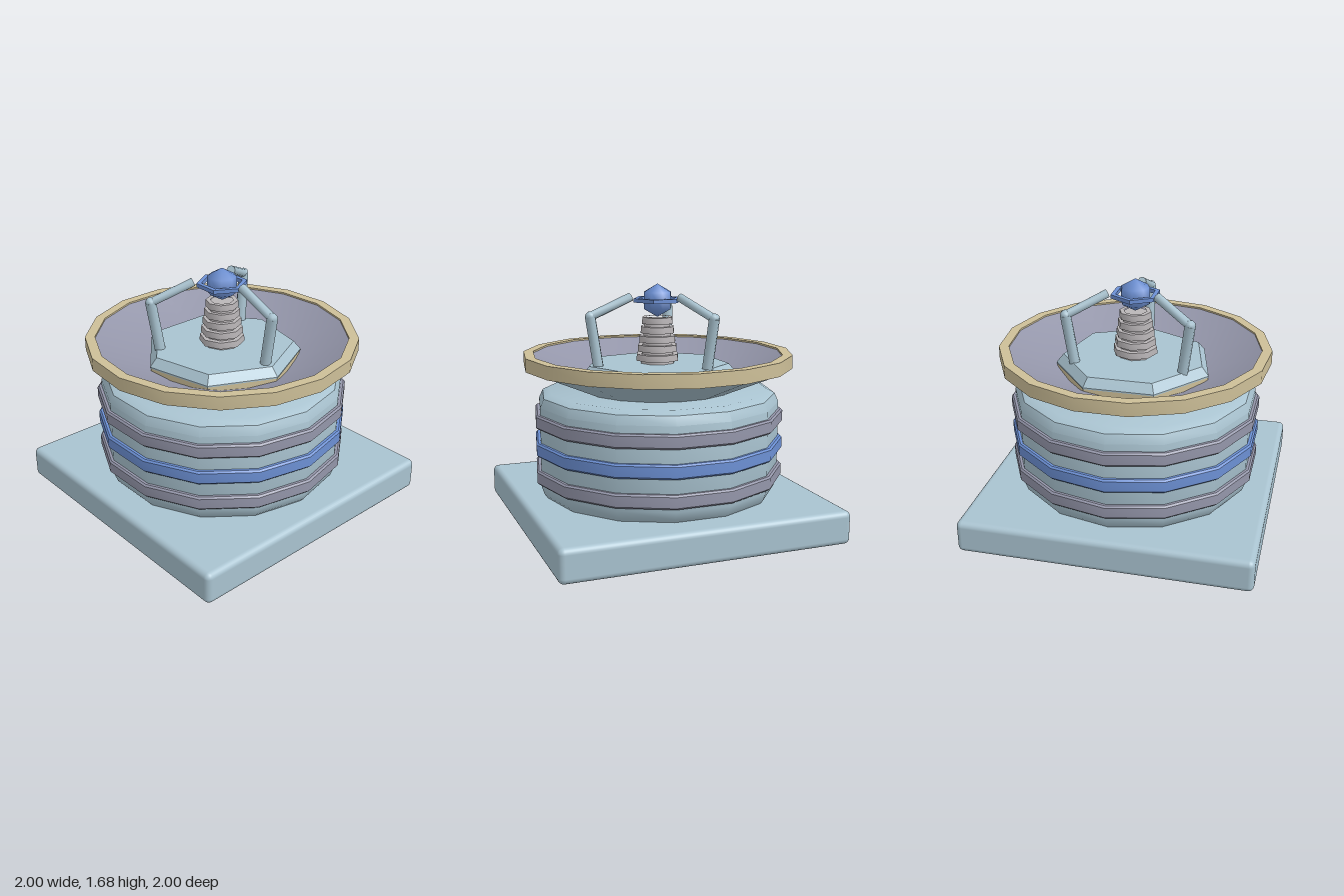
import * as THREE from 'three';
import { RoundedBoxGeometry } from 'three/addons/geometries/RoundedBoxGeometry.js';
import { toCreasedNormals } from 'three/addons/utils/BufferGeometryUtils.js';

const material = (name, color) => {
  const m = new THREE.MeshStandardMaterial({ color });
  m.name = name;
  return m;
};

export function createModel() {
  const paleBlue = material('paleBlue', 0xa9c3d0);
  const slate = material('slate', 0x9496aa);
  const blue = material('blue', 0x6c90d4);
  const tan = material('tan', 0xcdbf98);
  const grey = material('grey', 0xbab6b8);

  const model = new THREE.Group();
  const add = (name, geometry, mat, parent = model) => {
    const mesh = new THREE.Mesh(geometry, mat);
    mesh.name = name;
    parent.add(mesh);
    return mesh;
  };
  // Turned part with a corner on +x; profile runs bottom to top along the outside
  const turned = (profile, sides, crease = 0.5) => toCreasedNormals(
    new THREE.LatheGeometry(profile.map(([r, y]) => new THREE.Vector2(r, y)), sides, Math.PI / 2), crease);

  // Base slab
  add('base', new RoundedBoxGeometry(2, 0.23, 2, 3, 0.04), paleBlue).position.y = 0.115;

  // Drum body with rounded shoulders
  add('drum', turned([[0, 0.22], [0.8, 0.22], [0.83, 0.255], [0.85, 0.31], [0.85, 0.87],
    [0.823, 0.93], [0.77, 0.956], [0, 0.956]], 14, 0.6), paleBlue);

  // Three bands around the drum
  [[0.382, slate], [0.578, blue], [0.772, slate]].forEach(([y, mat], i) => {
    add('band' + (i + 1), turned([[0.83, y - 0.048], [0.868, y - 0.048], [0.88, y - 0.036],
      [0.88, y + 0.036], [0.868, y + 0.048], [0.83, y + 0.048]], 14), mat);
  });

  // Dish: underside, rim and bowl
  add('dishUnderside', turned([[0.47, 0.93], [0.92, 1.12]], 17), paleBlue);
  add('dishRim', turned([[0.87, 1.12], [0.94, 1.12], [0.94, 1.212], [0.872, 1.212], [0.872, 1.19]], 17), tan);
  add('dishBowl', turned([[0.872, 1.2], [0.45, 1.0], [0, 1.0]], 17), slate);

  // Seven-sided platform in the bowl
  add('platformFoot', turned([[0, 1.01], [0.545, 1.01], [0.545, 1.07]], 7, 0.3), tan);
  add('platform', turned([[0, 1.065], [0.55, 1.065], [0.55, 1.075], [0.5, 1.135], [0, 1.135]], 7, 0.3), paleBlue);

  // Tapering stack of insulator rings
  const stack = new THREE.Group();
  stack.name = 'ringStack';
  model.add(stack);
  add('stackCore', turned([[0.125, 1.13], [0.09, 1.445], [0, 1.445]], 8, 0.9), grey, stack);
  for (let i = 0; i < 5; i++) {
    const y = 1.155 + i * 0.064, r = 0.156 - i * 0.0105;
    add('stackRing', turned([[0.08, y], [r, y], [r - 0.003, y + 0.045], [0.08, y + 0.045]], 8, 0.9), grey, stack);
  }

  // Floating gem and its hexagonal ring
  add('gem', new THREE.SphereGeometry(0.115, 8, 3), blue).position.y = 1.57;
  add('gemRing', turned([[0.14, 1.56], [0.174, 1.56], [0.174, 1.587], [0.14, 1.587], [0.14, 1.56]], 6, 0.3), blue);

  // Three jointed arms reaching towards the gem
  const rod = (name, a, b, radius, parent) => {
    const dir = b.clone().sub(a);
    const mesh = add(name, toCreasedNormals(new THREE.CylinderGeometry(radius, radius, dir.length(), 8), 0.9), paleBlue, parent);
    mesh.position.copy(a).add(b).multiplyScalar(0.5);
    mesh.quaternion.setFromUnitVectors(new THREE.Vector3(0, 1, 0), dir.normalize());
  };
  const foot = new THREE.Vector3(0.432, 1.12, 0);
  const elbow = new THREE.Vector3(0.487, 1.475, 0);
  const tip = new THREE.Vector3(0.195, 1.6, 0);
  for (let i = 0; i < 3; i++) {
    const arm = new THREE.Group();
    arm.name = 'arm' + (i + 1);
    rod('armPost', foot, elbow, 0.037, arm);
    rod('armReach', elbow, tip, 0.031, arm);
    add('armElbow', new THREE.SphereGeometry(0.037, 8, 6), paleBlue, arm).position.copy(elbow);
    arm.rotation.y = i * Math.PI * 2 / 3;
    model.add(arm);
  }

  return model;
}
